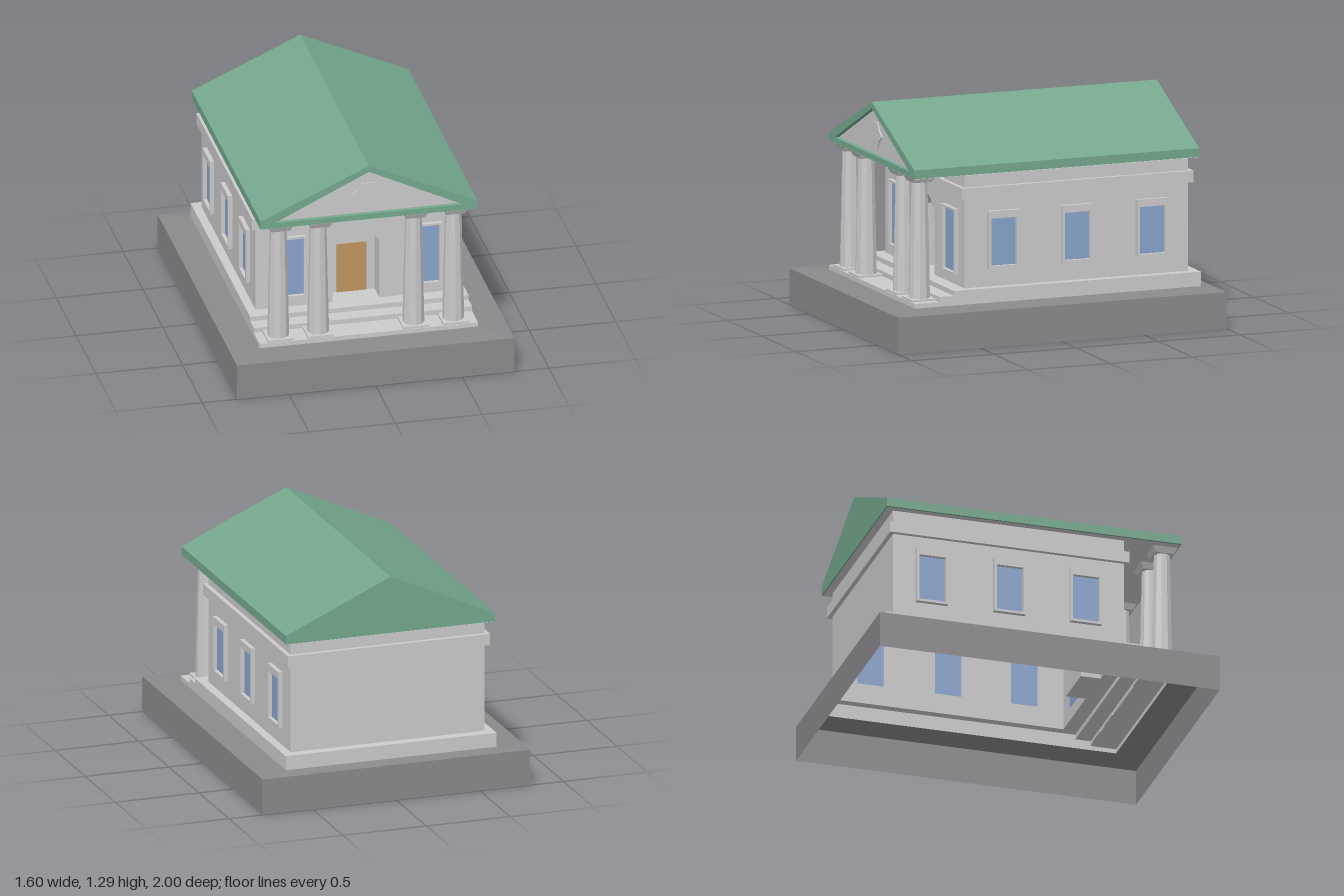
import * as THREE from 'three';

const mat = (name, color) => {
  const m = new THREE.MeshStandardMaterial({ color });
  m.name = name;
  m.side = THREE.DoubleSide;
  m.flatShading = true;
  return m;
};

const poly = (pts) => new THREE.Shape(pts.map(([x, y]) => new THREE.Vector2(x, y)));
const rect = (x0, x1, y0, y1) => [[x0, y0], [x1, y0], [x1, y1], [x0, y1]];

// Flat sheet with openings
function sheet(outer, holes = []) {
  const s = poly(outer);
  s.holes = holes.map(poly);
  return new THREE.ShapeGeometry(s);
}

// Solid of a given depth with openings
function solid(outer, depth, holes = []) {
  const s = poly(outer);
  s.holes = holes.map(poly);
  return new THREE.ExtrudeGeometry(s, { depth, bevelEnabled: false });
}

// Open shell through rectangular rings [halfWidth, zBack, zFront, y]
function shell(rings) {
  const pos = [];
  const corners = rings.map(([x, a, b, y]) => [[-x, y, b], [x, y, b], [x, y, a], [-x, y, a]]);
  for (let i = 0; i < rings.length - 1; i++) {
    for (let k = 0; k < 4; k++) {
      const n = (k + 1) % 4;
      const [p, q, r, s] = [corners[i][k], corners[i][n], corners[i + 1][n], corners[i + 1][k]];
      pos.push(...p, ...q, ...r, ...p, ...r, ...s);
    }
  }
  const g = new THREE.BufferGeometry();
  g.setAttribute('position', new THREE.Float32BufferAttribute(pos, 3));
  g.computeVertexNormals();
  return g;
}

export function createModel() {
  const model = new THREE.Group();
  model.name = 'temple';
  const ground = mat('groundGrey', 0x8c898c);
  const stone = mat('paleStone', 0xcbcbcb);
  const green = mat('roofGreen', 0x75a88d);
  const glass = mat('windowBlue', 0x8aa4cd);
  const wood = mat('doorWood', 0xbf945f);

  const add = (name, geometry, material, parent = model, x = 0, y = 0, z = 0) => {
    const m = new THREE.Mesh(geometry, material);
    m.name = name;
    m.position.set(x, y, z);
    parent.add(m);
    return m;
  };

  // Ground block, open below, its top rising slightly to the building
  add('groundBlock', shell([
    [0.8, -1, 1, 0], [0.8, -1, 1, 0.21], [0.63, -0.915, 0.83, 0.22],
  ]), ground);

  // Platform with front steps
  add('platform', shell([
    [0.63, -0.915, 0.83, 0.22], [0.63, -0.915, 0.83, 0.246],
    [0.63, -0.915, 0.68, 0.246], [0.63, -0.915, 0.68, 0.275],
    [0.63, -0.915, 0.59, 0.275], [0.63, -0.915, 0.59, 0.303],
    [0.58, -0.855, 0.505, 0.303],
  ]), stone);

  // Walls with framed windows, built facing +z
  const facade = (name, x0, x1, windows, extraHoles = []) => {
    const g = new THREE.Group();
    g.name = name;
    add('wall', sheet(rect(x0, x1, 0.303, 0.96), [...windows.map((w) => w.pane), ...extraHoles]), stone, g);
    for (const w of windows) {
      add('windowFrame', solid(w.frame, 0.025, [w.pane]), stone, g);
      add('windowPane', sheet(w.pane), glass, g, 0, 0, 0.003);
    }
    model.add(g);
    return g;
  };

  const arch = [
    [-0.135, 0.303], [0.135, 0.303], [0.135, 0.66], [0.085, 0.727], [0.045, 0.749],
    [0, 0.756], [-0.045, 0.749], [-0.085, 0.727], [-0.135, 0.66],
  ];
  const frontWindows = [-0.39, 0.39].map((x) => ({
    frame: rect(x - 0.1, x + 0.1, 0.3625, 0.742),
    pane: rect(x - 0.085, x + 0.085, 0.376, 0.73),
  }));
  facade('frontWall', -0.58, 0.58, frontWindows, [arch]).position.z = 0.505;
  facade('backWall', -0.58, 0.58, []).position.z = -0.855;

  for (const side of [1, -1]) {
    const windows = [0.275, -0.174, -0.63].map((z) => {
      const c = -side * z;
      return {
        frame: rect(c - 0.093, c + 0.093, 0.407, 0.737),
        pane: rect(c - 0.078, c + 0.078, 0.422, 0.695),
      };
    });
    const ends = [-side * 0.505, side * 0.855].sort((a, b) => a - b);
    const wall = facade(side > 0 ? 'leftWall' : 'rightWall', ends[0], ends[1], windows);
    wall.rotation.y = side * Math.PI / 2;
    wall.position.x = side * 0.58;
  }

  // Recessed doorway
  const archRim = arch.map(([x, y]) => [x * 1.04, 0.53 + (y - 0.53) * 1.03]);
  add('doorRecess', solid(archRim, 0.12, [arch]), stone, model, 0, 0, 0.385);
  add('doorRecessBack', sheet(arch), stone, model, 0, 0, 0.387);
  add('door', solid(rect(-0.085, 0.085, 0.304, 0.603), 0.005), wood, model, 0, 0, 0.388);

  // Moulding around the walls
  add('cornice', shell([
    [0.58, -0.855, 0.505, 0.813], [0.605, -0.88, 0.53, 0.813],
    [0.605, -0.88, 0.53, 0.88], [0.58, -0.855, 0.505, 0.88],
  ]), stone);

  // Columns
  for (const x of [-0.505, -0.275, 0.275, 0.505]) {
    const column = new THREE.Group();
    column.name = 'column';
    column.position.set(x, 0, 0.75);
    add('plinth', new THREE.BoxGeometry(0.15, 0.012, 0.15), stone, column, 0, 0.252, 0);
    add('shaft', new THREE.CylinderGeometry(0.047, 0.062, 0.67, 10), stone, column, 0, 0.592, 0);
    const capital = new THREE.CylinderGeometry(0.073 * Math.SQRT2, 0.055 * Math.SQRT2, 0.036, 4);
    capital.rotateY(Math.PI / 4);
    add('capital', capital, stone, column, 0, 0.942, 0);
    model.add(column);
  }

  // Roof with a recessed front pediment
  const gable = [[-0.625, 0.96], [0.625, 0.96], [0.625, 1.01], [0, 1.292], [-0.625, 1.01]];
  const pediment = [[-0.545, 0.992], [0.545, 0.992], [0, 1.255]];
  add('roof', solid(gable, 1.705), green, model, 0, 0, -0.905);
  add('pedimentRim', solid(gable, 0.03, [pediment]), green, model, 0, 0, 0.8);
  add('pedimentPanel', sheet(pediment), stone, model, 0, 0, 0.803);

  // Ornament on the pediment
  const half = [[0.035, 1.03], [0.055, 1.07], [0.1, 1.105], [0.055, 1.14], [0.04, 1.175]];
  const mirrored = half.map(([x, y]) => [-x, y]).reverse();
  add('pedimentOrnament', solid([...half, ...mirrored], 0.009), stone, model, 0, 0, 0.803);

  // Ceiling of the porch and eaves
  const soffit = sheet(rect(-0.62, 0.62, -0.825, 0.9), [rect(-0.58, 0.58, -0.505, 0.855)]);
  soffit.rotateX(-Math.PI / 2);
  add('eavesCeiling', soffit, stone, model, 0, 0.957, 0);

  return model;
}
